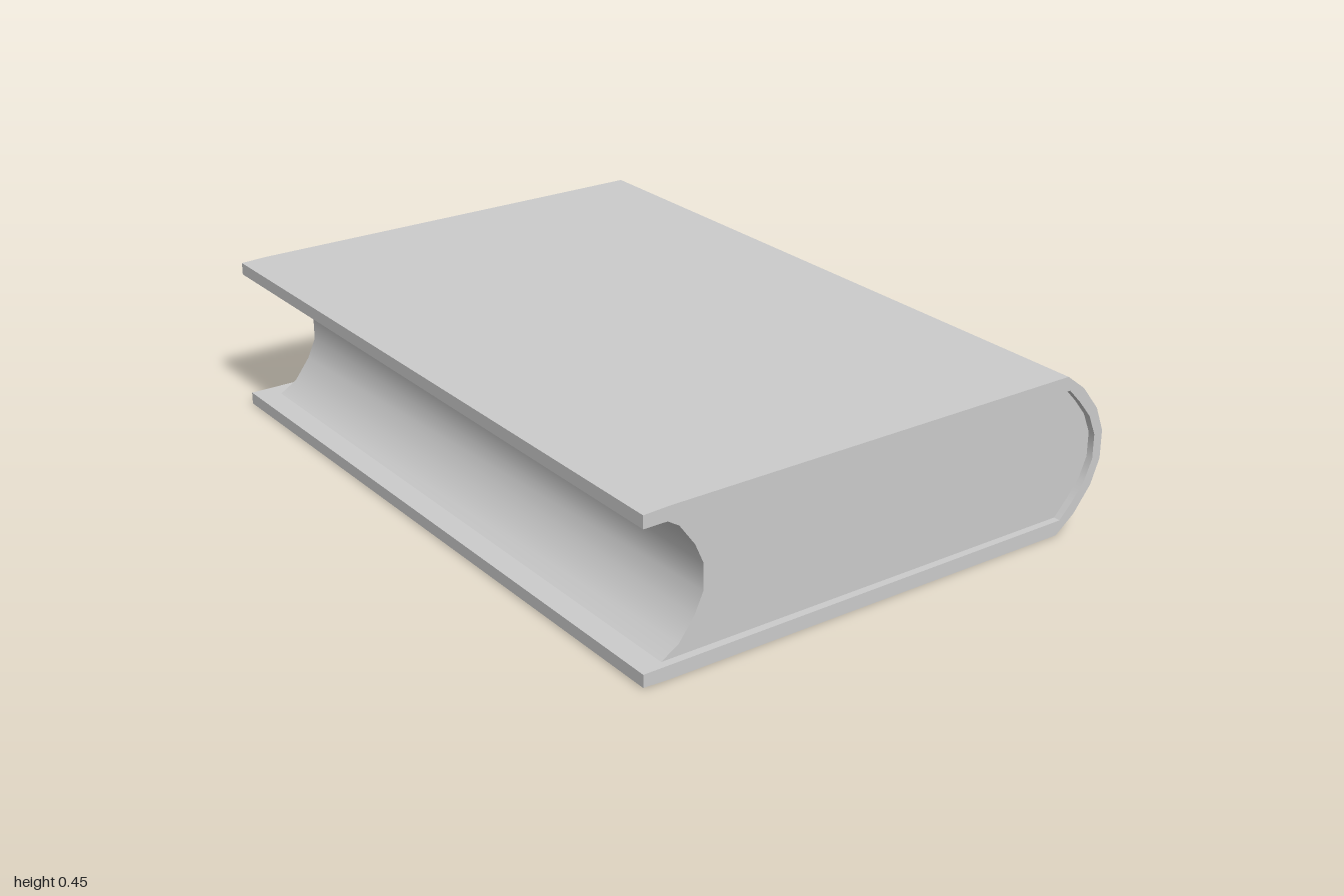
import * as THREE from 'three';
import { toCreasedNormals } from 'three/addons/utils/BufferGeometryUtils.js';

const MID = 0.23; // height of the book's mirror plane

// Upper half of a profile (x, height above the mid plane), mirrored downwards
const mirror = (half) => [
  ...half.map(([x, h]) => [x, MID + h]),
  ...half.slice().reverse().map(([x, h]) => [x, MID - h]),
];

// Outer and inner curves of the spine, from the joint to the middle
const spineOuter = [[0.59, 0.226], [0.65, 0.18], [0.705, 0.11], [0.732, 0.04]];
const spineInner = [[0.60, 0.185], [0.64, 0.143], [0.68, 0.093], [0.704, 0.035]];
// Hollow fore-edge of the pages
const foreEdge = [[-0.67, 0.185], [-0.62, 0.154], [-0.575, 0.093], [-0.55, 0.037]];

// Slightly skewed ends: the back runs from the fore-edge to a shorter spine
const backZ = (x) => -1 + 0.024 * (x + 0.735) / 1.467;
const frontZ = (x) => 0.99 + 0.008 * (x + 0.735) / 1.467;

// Extrude a profile along z, then fit its ends to the skewed front and back
function slab(name, points, frontInset, backInset) {
  const shape = new THREE.Shape(points.map(([x, y]) => new THREE.Vector2(x, y)));
  const geometry = new THREE.ExtrudeGeometry(shape, { depth: 1, bevelEnabled: false });
  const pos = geometry.attributes.position;
  for (let i = 0; i < pos.count; i++) {
    const x = pos.getX(i);
    pos.setZ(i, pos.getZ(i) > 0.5 ? frontZ(x) - frontInset : backZ(x) + backInset);
  }
  const mesh = new THREE.Mesh(
    toCreasedNormals(geometry, 0.54),
    new THREE.MeshStandardMaterial({ color: 0xcccccc }),
  );
  mesh.name = name;
  return mesh;
}

export function createModel() {
  const book = new THREE.Group();
  book.name = 'book';

  // Cover: two boards joined by the rounded spine, one C-shaped profile
  const outer = mirror([[-0.735, 0.222], [-0.66, 0.225], ...spineOuter]);
  const inner = mirror([[-0.735, 0.187], ...spineInner]);
  book.add(slab('cover', [...outer, ...inner.reverse()], 0, 0));

  // Page block: rounded at the spine, hollow at the fore-edge, set in at the ends
  const pages = [...mirror(spineInner), ...mirror(foreEdge).reverse()];
  book.add(slab('pages', pages, 0.02, 0.06));

  return book;
}
